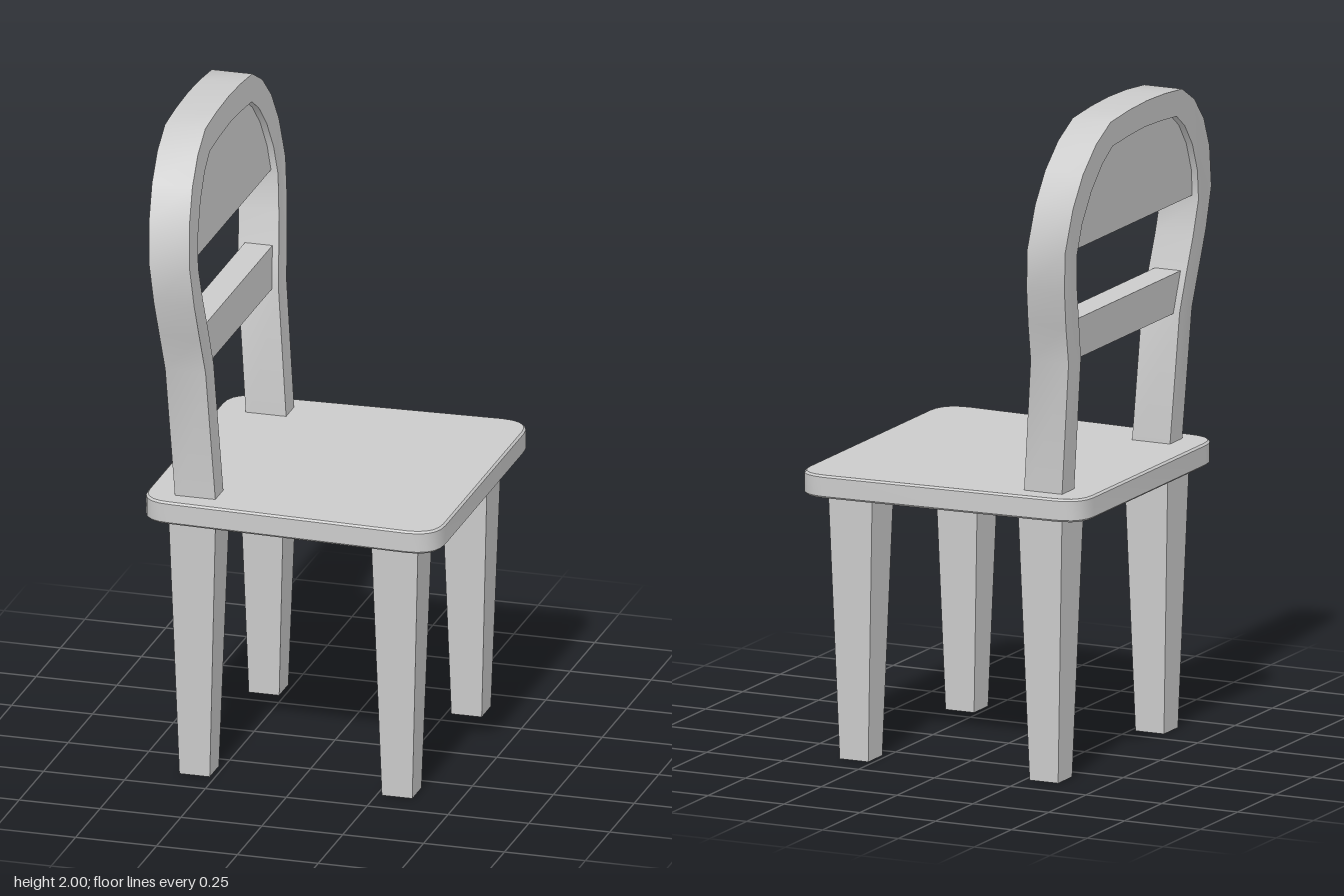
import * as THREE from 'three';
import { toCreasedNormals } from 'three/addons/utils/BufferGeometryUtils.js';

const material = new THREE.MeshStandardMaterial({ color: 0xcccccc });

// Half outlines of the back frame as [z, y], from the seat up to the crown
const outer = [[0.402, 0.84], [0.414, 1.28], [0.448, 1.4], [0.475, 1.51], [0.491, 1.635], [0.458, 1.765],
  [0.405, 1.86], [0.33, 1.935], [0.24, 1.985], [0.12, 1.996], [0, 2]];
const inner = [[0.32, 0.84], [0.331, 1.28], [0.362, 1.4], [0.388, 1.5], [0.408, 1.61], [0.386, 1.705],
  [0.338, 1.795], [0.276, 1.865], [0.215, 1.906], [0.11, 1.915], [0, 1.92]];

// Centre of the backrest in x at a given height
const lean = (y) => (y < 1.4 ? -0.311 - (y - 0.88) * 0.067 : -0.346 - (y - 1.4) * 0.077);

// Full outline from a half one: up the +z side, down the -z side
const mirror = (half) => [...half, ...half.slice(0, -1).reverse().map(([z, y]) => [-z, y])];

function addMesh(group, name, geometry) {
  const mesh = new THREE.Mesh(geometry, material);
  mesh.name = name;
  group.add(mesh);
  return mesh;
}

// Extrude a [z, y] outline through x and tilt it along the backrest
function leaningSlab(points, thickness) {
  const shape = new THREE.Shape(points.map(([z, y]) => new THREE.Vector2(z, y)));
  const geometry = new THREE.ExtrudeGeometry(shape, { depth: thickness, bevelEnabled: false });
  geometry.translate(0, 0, -thickness / 2).rotateY(Math.PI / 2);
  const p = geometry.attributes.position;
  for (let i = 0; i < p.count; i++) p.setX(i, p.getX(i) + lean(p.getY(i)));
  return toCreasedNormals(geometry, 0.55);
}

// Slightly tapered seat with rounded corners
function seatGeometry() {
  const b = 0.006, r = 0.088;
  const back = -0.465 + b, front = 0.462 - b, zb = 0.467 - b, zf = 0.495 - b;
  const s = new THREE.Shape();
  s.moveTo(back + r, -zb);
  s.lineTo(front - r, -zf);
  s.quadraticCurveTo(front, -zf, front, -zf + r);
  s.lineTo(front, zf - r);
  s.quadraticCurveTo(front, zf, front - r, zf);
  s.lineTo(back + r, zb);
  s.quadraticCurveTo(back, zb, back, zb - r);
  s.lineTo(back, -zb + r);
  s.quadraticCurveTo(back, -zb, back + r, -zb);
  const geometry = new THREE.ExtrudeGeometry(s, {
    depth: 0.07 - 2 * b, bevelThickness: b, bevelSize: b, bevelSegments: 1, curveSegments: 5,
  });
  geometry.rotateX(Math.PI / 2).translate(0, 0.88 - b, 0);
  return toCreasedNormals(geometry, 0.5);
}

// Square leg tapering to the floor
function legGeometry() {
  const height = 0.82;
  const geometry = new THREE.CylinderGeometry(0.0725 * Math.SQRT2, 0.047 * Math.SQRT2, height, 4);
  geometry.rotateY(Math.PI / 4).translate(0, height / 2, 0);
  return toCreasedNormals(geometry, 0.5);
}

export function createModel() {
  const chair = new THREE.Group();
  chair.name = 'chair';

  addMesh(chair, 'seat', seatGeometry());

  const leg = legGeometry();
  for (const [end, x] of [['front', 0.313], ['back', -0.313]]) {
    for (const [side, z] of [['A', 0.355], ['B', -0.355]]) {
      addMesh(chair, `${end}Leg${side}`, leg).position.set(x, 0, z);
    }
  }

  // Bent hoop that forms both posts and the crown
  addMesh(chair, 'backFrame', leaningSlab([...mirror(outer), ...mirror(inner).reverse()], 0.125));

  // Upper panel filling the arch, and the lower rail; both tuck slightly into the frame
  const tuck = ([z, y]) => [z + 0.012 * Math.sign(z), y];
  const arch = inner.slice(4).map(([z, y]) => (z ? [z + 0.01, y + 0.006] : [z, y + 0.008]));
  addMesh(chair, 'backPanel', leaningSlab(mirror([[0.418, 1.622], ...arch.slice(1)]), 0.085));
  const rail = [[0.331, 1.275], [0.362, 1.4], [-0.362, 1.4], [-0.331, 1.275]].map(tuck);
  addMesh(chair, 'backRail', leaningSlab(rail, 0.085));

  return chair;
}
